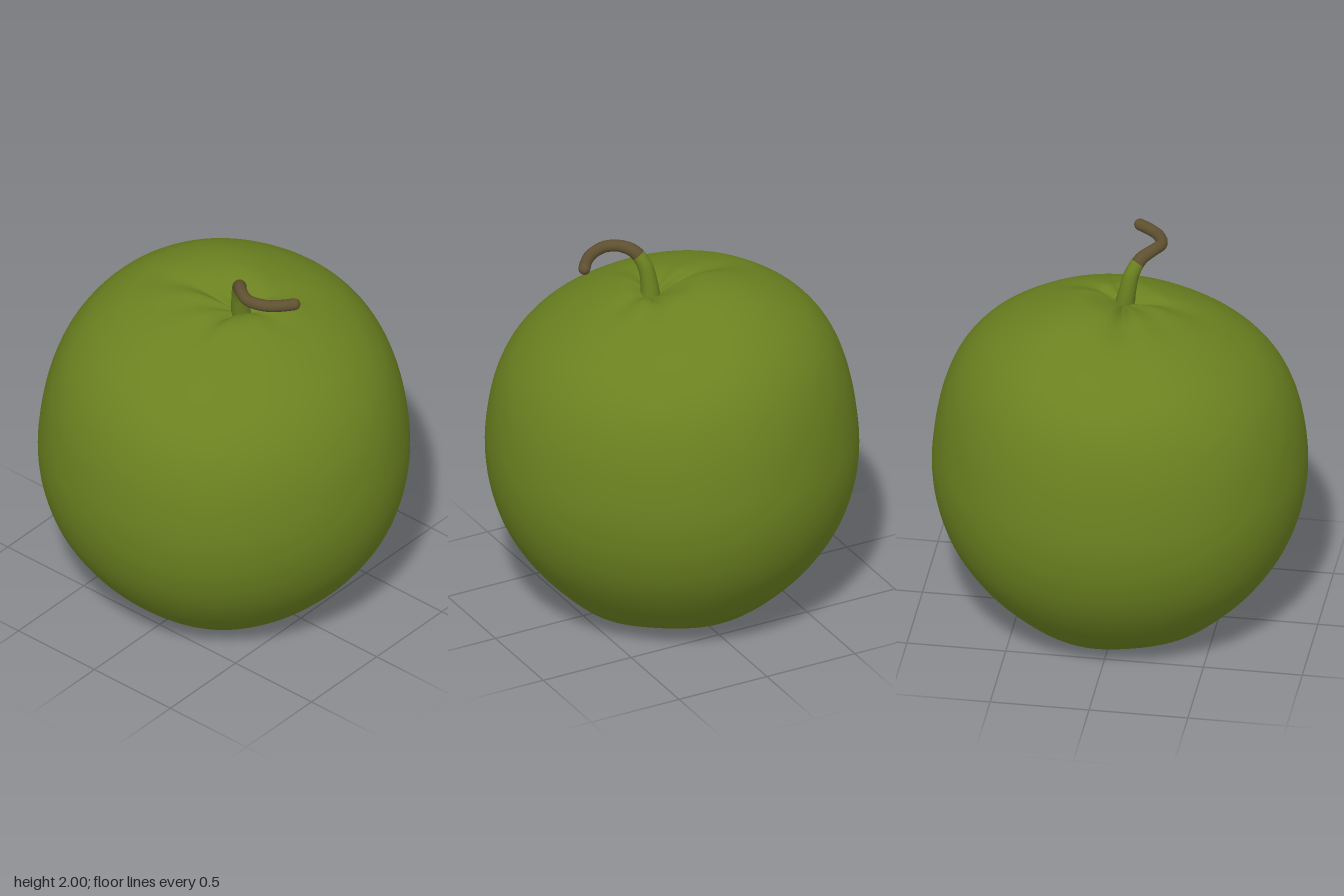
import * as THREE from 'three';
import { mergeVertices } from 'three/addons/utils/BufferGeometryUtils.js';

const V3 = (x, y, z) => new THREE.Vector3(x, y, z);

// Half outline of the fruit: [radius, height], from bottom dent to top dimple
const PROFILE = [
  [0, 0.12], [0.12, 0.1], [0.25, 0.04], [0.38, 0.012], [0.5, 0.06], [0.62, 0.165], [0.74, 0.3], [0.845, 0.47],
  [0.908, 0.655], [0.931, 0.845], [0.917, 1.04], [0.878, 1.23], [0.808, 1.4], [0.7, 1.54], [0.56, 1.645],
  [0.42, 1.712], [0.3, 1.75], [0.19, 1.768], [0.09, 1.748], [0, 1.7],
];

// Creases running out of the top dimple: [angle, depth, angular width]
const CREASES = [[2.98, 0.035, 0.24], [1.4, 0.025, 0.25], [2.2, 0.01, 0.3], [-0.9, 0.025, 0.25], [-0.2, 0.018, 0.25]];

function fruitGeometry() {
  const outline = new THREE.SplineCurve(PROFILE.map(([r, y]) => new THREE.Vector2(r, y))).getPoints(114);
  outline.forEach((p) => { p.x = Math.max(0, p.x); });
  outline[0].x = outline[outline.length - 1].x = 0;
  const geo = new THREE.LatheGeometry(outline, 120);
  const pos = geo.attributes.position;
  for (let i = 0; i < pos.count; i++) {
    let x = pos.getX(i), y = pos.getY(i), z = pos.getZ(i);
    const r = Math.hypot(x, z), a = Math.atan2(z, x);
    const top = THREE.MathUtils.smoothstep(y, 0.9, 1.75);
    const bottom = 1 - THREE.MathUtils.smoothstep(y, 0.05, 0.4);
    // Lean of the shoulders, with a swelling at the back left of the dimple
    let dy = -top * (0.07 * x + 0.05 * z);
    dy += top * 0.032 * Math.exp(-((x + 0.22) ** 2 + (z + 0.24) ** 2) / 0.06);
    // Creases fade in and out with radius
    const reach = top * Math.min(1, r / 0.08) * Math.exp(-(((r - 0.12) / 0.27) ** 2));
    for (const [angle, depth, width] of CREASES) {
      const d = Math.atan2(Math.sin(a - angle), Math.cos(a - angle));
      dy -= depth * reach * Math.exp(-((d / width) ** 2));
    }
    // Soft lobes under the fruit
    const ring = bottom * Math.min(1, r / 0.3) * Math.exp(-(((r - 0.32) / 0.2) ** 2));
    dy += ring * (0.008 - 0.013 * Math.cos(2 * a) + 0.008 * Math.sin(5 * a));
    // Off-centre dimple and a slightly uneven girth
    if (r < 0.6) x += 0.11 * top * (1 - r / 0.6) ** 2;
    const girth = 1 + 0.004 * Math.cos(2 * a - 1.7) + 0.005 * Math.cos(5 * a + 1);
    pos.setXYZ(i, x * girth, Math.max(0, y + dy), z * girth * 1.008);
  }
  geo.deleteAttribute('uv');
  geo.deleteAttribute('normal');
  const smooth = mergeVertices(geo, 1e-5);
  smooth.computeVertexNormals();
  return smooth;
}

// Round tube along a curve between t0 and t1, with a radius that varies along it
function stemGeometry(curve, t0, t1, radiusAt) {
  const part = new THREE.Curve();
  part.getPoint = (t, target = V3(0, 0, 0)) => curve.getPointAt(t0 + (t1 - t0) * t, target);
  const rows = 32, sides = 16;
  const geo = new THREE.TubeGeometry(part, rows, 1, sides, false);
  const pos = geo.attributes.position, v = V3(0, 0, 0);
  for (let i = 0; i < pos.count; i++) {
    const t = Math.floor(i / (sides + 1)) / rows;
    const c = part.getPointAt(t);
    v.fromBufferAttribute(pos, i).sub(c).multiplyScalar(radiusAt(t0 + (t1 - t0) * t)).add(c);
    pos.setXYZ(i, v.x, v.y, v.z);
  }
  return geo;
}

export function createModel() {
  const model = new THREE.Group();
  model.name = 'fruit';
  const green = new THREE.MeshStandardMaterial({ color: 0x6b8120 });
  green.name = 'green skin';
  const brown = new THREE.MeshStandardMaterial({ color: 0x5e5030 });
  brown.name = 'brown stem';

  const add = (name, geo, mat) => {
    const mesh = new THREE.Mesh(geo, mat);
    mesh.name = name;
    model.add(mesh);
    return mesh;
  };

  add('body', fruitGeometry(), green);

  // Hooked stem: green at the foot, brown beyond the bend
  const path = new THREE.CatmullRomCurve3([
    V3(0.115, 1.67, 0), V3(0.115, 1.78, 0.018), V3(0.13, 1.88, 0.04), V3(0.165, 1.945, 0.078),
    V3(0.22, 1.968, 0.13), V3(0.29, 1.966, 0.163), V3(0.38, 1.96, 0.135), V3(0.44, 1.957, 0.08), V3(0.48, 1.955, 0.025),
  ]);
  const radiusAt = (t) => 0.03 + 0.018 * Math.max(0, 1 - t / 0.55) + 0.015 * Math.exp(-t * 16);
  const split = 0.39;
  add('stemFoot', stemGeometry(path, 0, split, radiusAt), green);
  add('stemHook', stemGeometry(path, split, 1, radiusAt), brown);
  add('stemTip', new THREE.SphereGeometry(0.03, 16, 12), brown).position.copy(path.getPointAt(1));

  return model;
}
